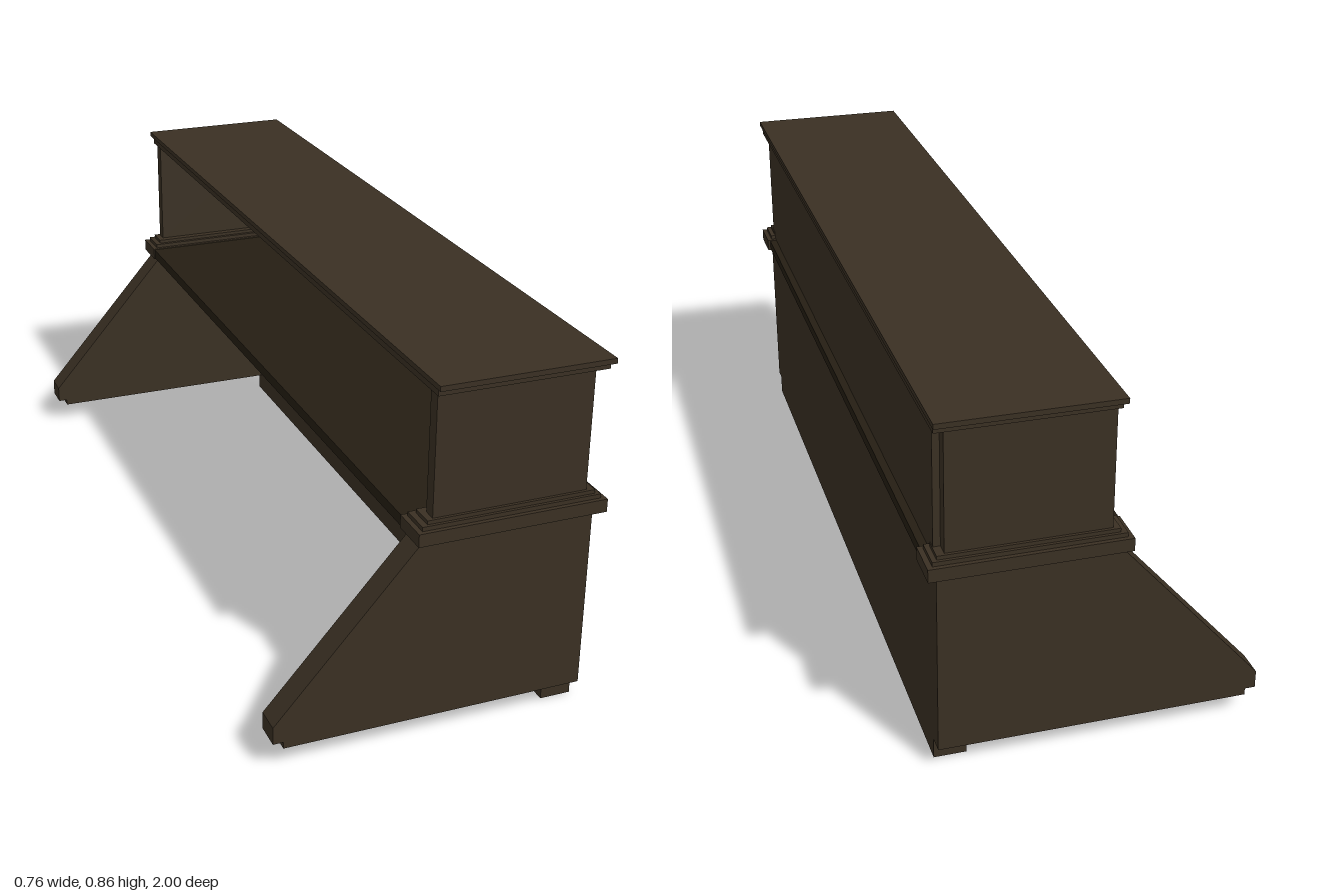
import * as THREE from 'three';

const wood = new THREE.MeshStandardMaterial({ color: 0x3a3023 });
const darkWood = new THREE.MeshStandardMaterial({ color: 0x251e13 });

// Box given by its limits on each axis
function slab(parent, name, [x0, x1], [y0, y1], [z0, z1], material = wood) {
  const mesh = new THREE.Mesh(new THREE.BoxGeometry(x1 - x0, y1 - y0, z1 - z0), material);
  mesh.position.set((x0 + x1) / 2, (y0 + y1) / 2, (z0 + z1) / 2);
  mesh.name = name;
  parent.add(mesh);
}

// Outline in x and y, extruded along z
function profile(parent, name, points, [z0, z1]) {
  const shape = new THREE.Shape(points.map(([x, y]) => new THREE.Vector2(x, y)));
  const geometry = new THREE.ExtrudeGeometry(shape, { depth: z1 - z0, bevelEnabled: false });
  geometry.translate(0, 0, z0);
  const mesh = new THREE.Mesh(geometry, wood);
  mesh.name = name;
  parent.add(mesh);
}

export function createModel() {
  const model = new THREE.Group();
  model.name = 'counter';

  // Two matching ends
  for (const s of [1, -1]) {
    const end = new THREE.Group();
    end.name = s > 0 ? 'frontEnd' : 'backEnd';
    const span = (a, b) => (s > 0 ? [a, b] : [-b, -a]);

    // Sloping support below the shelf
    profile(end, 'slopedSupport', [
      [0.358, 0.05], [0.358, 0.493], [-0.045, 0.493], [-0.382, 0.108],
      [-0.382, 0.066], [-0.358, 0.066], [-0.358, 0.05],
    ], span(0.907, 0.97));

    // Stepped moulding around the end of the shelf
    slab(end, 'lowerMoulding', [-0.066, 0.381], [0.493, 0.524], span(0.897, 0.991));
    slab(end, 'middleMoulding', [-0.054, 0.369], [0.524, 0.534], span(0.907, 0.981));
    slab(end, 'upperMoulding', [-0.04, 0.358], [0.534, 0.543], span(0.917, 0.974));

    // Upper side, stopping short of the long panel's face
    slab(end, 'upperSide', [-0.025, 0.34], [0.543, 0.829], span(0.936, 0.967));
    model.add(end);
  }

  // Long panels; the lower one reaches the ground
  slab(model, 'lowerPanel', [0.284, 0.358], [0, 0.5], [-0.93, 0.937]);
  slab(model, 'upperPanel', [0.288, 0.356], [0.52, 0.829], [-0.937, 0.937]);

  // Darker shelf between the ends
  slab(model, 'shelf', [-0.064, 0.374], [0.496, 0.522], [-0.91, 0.91], darkWood);

  // Top board on its moulding
  slab(model, 'topMoulding', [-0.031, 0.365], [0.829, 0.847], [-0.982, 0.982]);
  slab(model, 'topBoard', [-0.036, 0.369], [0.847, 0.859], [-1, 1]);

  return model;
}
